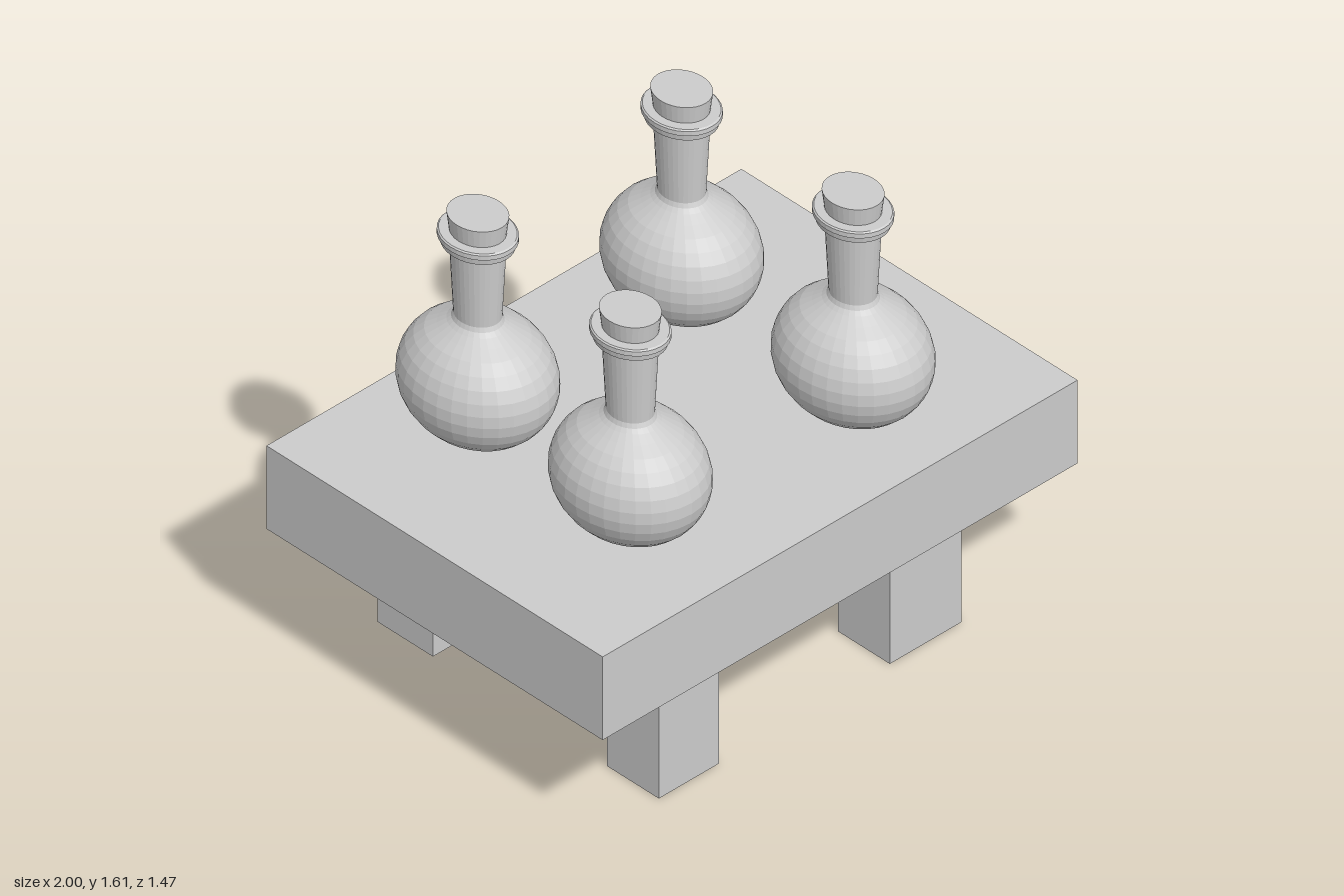
import * as THREE from 'three';

const grey = new THREE.MeshStandardMaterial({ color: 0xcccccc });
grey.name = 'plain grey';

// Box given by its min and max on each axis
function block(name, [x0, x1], [y0, y1], [z0, z1]) {
  const mesh = new THREE.Mesh(new THREE.BoxGeometry(x1 - x0, y1 - y0, z1 - z0), grey);
  mesh.position.set((x0 + x1) / 2, (y0 + y1) / 2, (z0 + z1) / 2);
  mesh.name = name;
  return mesh;
}

// Faceted turned part from [radius, height] pairs, bottom to top
function turned(name, profile) {
  const points = profile.map(([r, y]) => new THREE.Vector2(r, y));
  const geometry = new THREE.LatheGeometry(points, 32).toNonIndexed();
  geometry.computeVertexNormals();
  const mesh = new THREE.Mesh(geometry, grey);
  mesh.name = name;
  return mesh;
}

function createFlask() {
  const flask = new THREE.Group();
  flask.name = 'flask';

  // Round body, slightly squashed, blending into the tapered neck
  const body = [];
  const steps = 14;
  for (let i = 0; i <= steps; i++) {
    const a = -Math.PI / 2 + (i / steps) * 2.62;
    body.push([Math.max(0, 0.231 * Math.cos(a)), 0.995 + 0.22 * Math.sin(a)]);
  }
  body.push([0.088, 1.205], [0.075, 1.217], [0.069, 1.232], [0.081, 1.505]);
  flask.add(turned('bodyAndNeck', body));

  // Stepped ring around the mouth
  flask.add(turned('collar', [
    [0.08, 1.502], [0.106, 1.502], [0.109, 1.522], [0.115, 1.526],
    [0.115, 1.543], [0.11, 1.547], [0.078, 1.547],
  ]));

  // Stopper, wider at the top
  flask.add(turned('stopper', [[0, 1.53], [0.079, 1.53], [0.088, 1.612], [0, 1.612]]));
  flask.scale.z = 1.175;
  return flask;
}

export function createModel() {
  const model = new THREE.Group();
  model.name = 'flaskTable';

  model.add(block('tableTop', [-1, 1], [0.45, 0.767], [-0.735, 0.735]));

  // Four legs, wider on the left side
  for (const [side, x] of [['Left', [0.303, 0.605]], ['Right', [-0.67, -0.417]]]) {
    model.add(block('front' + side + 'Leg', x, [0, 0.45], [0.412, 0.638]));
    model.add(block('back' + side + 'Leg', x, [0, 0.45], [-0.593, -0.35]));
  }

  // Four flasks standing on the top
  for (const [x, z] of [[-0.5, -0.33], [-0.5, 0.337], [0.378, -0.35], [0.397, 0.38]]) {
    const flask = createFlask();
    flask.position.set(x, 0, z);
    model.add(flask);
  }
  return model;
}
